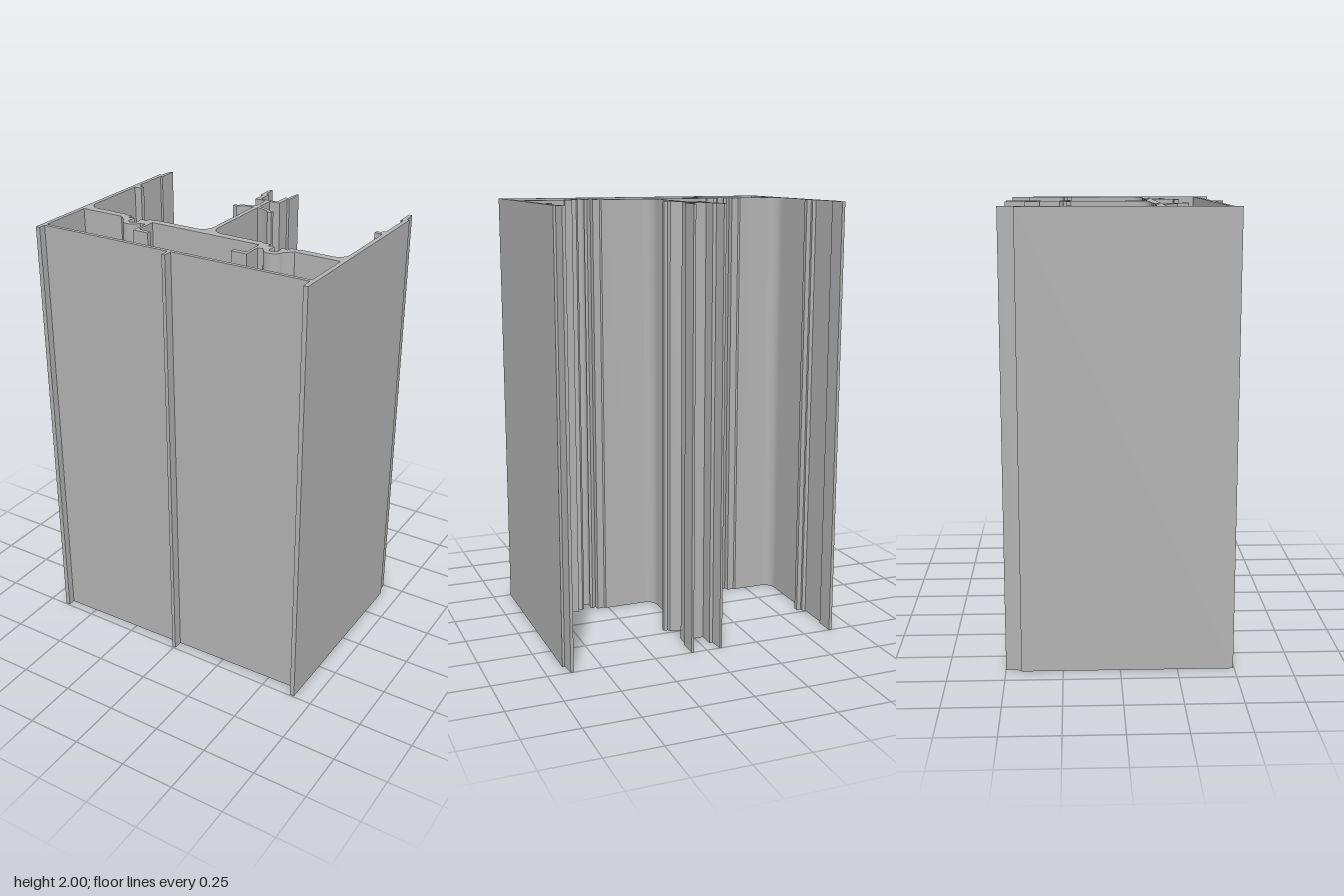
import * as THREE from 'three';
import { toCreasedNormals } from 'three/addons/utils/BufferGeometryUtils.js';

const HEIGHT = 2;
const metal = new THREE.MeshStandardMaterial({ color: 0xb2b2b2 });
metal.name = 'grey aluminium';

// Points on an arc in the x-z plane, angles in degrees
function arc(cx, cz, r, from, to, steps = 10) {
  return Array.from({ length: steps + 1 }, (_, i) => {
    const a = THREE.MathUtils.degToRad(from + ((to - from) * i) / steps);
    return [cx + r * Math.cos(a), cz + r * Math.sin(a)];
  });
}

// Extrude an x-z outline up the full height; side -1 mirrors it
function extrude(name, points, side = 1) {
  const shape = new THREE.Shape(points.map(([x, z]) => new THREE.Vector2(x * side, -z)));
  const geometry = new THREE.ExtrudeGeometry(shape, { depth: HEIGHT, bevelEnabled: false });
  geometry.rotateX(-Math.PI / 2);
  const mesh = new THREE.Mesh(toCreasedNormals(geometry, 0.6), metal);
  mesh.name = name;
  return mesh;
}

export function createModel() {
  const model = new THREE.Group();
  model.name = 'extrudedProfile';

  // Outer wall with stepped clip edge and small inner catch
  const wall = [
    [0.663, 0.495], [0.663, -0.432], [0.652, -0.432], [0.645, -0.5], [0.631, -0.5],
    [0.631, -0.41], [0.642, -0.41],
    [0.642, -0.242], [0.628, -0.235], [0.628, -0.221], [0.606, -0.221], [0.606, -0.199], [0.642, -0.199],
    [0.642, 0.495],
  ];

  // Cross web with fillets, round screw port and hooked leg
  const web = [
    ...arc(0.064, 0.099, 0.053, 180, 90),
    [0.264, 0.152], [0.271, 0.158], [0.304, 0.158], [0.308, 0.183],
    [0.327, 0.172], [0.338, 0.182], [0.333, 0.196],
    ...arc(0.353, 0.211, 0.021, 180, 0),
    [0.373, 0.196], [0.368, 0.182], [0.379, 0.172],
    [0.398, 0.183], [0.402, 0.158], [0.435, 0.158], [0.442, 0.152],
    ...arc(0.589, 0.099, 0.053, 90, 0),
    [0.642, 0.188], [0.435, 0.188],
    ...arc(0.353, 0.211, 0.046, 10, 165, 14),
    [0.282, 0.223], [0.282, 0.311], [0.207, 0.311], [0.207, 0.289], [0.268, 0.289], [0.268, 0.188],
    [0.011, 0.188],
  ];

  // Arm of the fork on the centre stem
  const forkArm = [
    [0, -0.342], [0, -0.356], [0.043, -0.356], [0.043, -0.43], [0.058, -0.432], [0.064, -0.5],
    [0.075, -0.5], [0.075, -0.41], [0.064, -0.41], [0.064, -0.342],
  ];

  // Drooping wing with a turned-out lip
  const wing = [
    [0.011, -0.254], [0.075, -0.235], [0.082, -0.221], [0.1, -0.221], [0.1, -0.203],
    [0.08, -0.203], [0.063, -0.219], [0.011, -0.235],
  ];

  const halves = { Wall: wall, Web: web, ForkArm: forkArm, Wing: wing };
  for (const [name, points] of Object.entries(halves)) {
    model.add(extrude('left' + name, points, 1), extrude('right' + name, points, -1));
  }

  // Centre stem
  model.add(extrude('centreStem', [[-0.011, -0.342], [0.011, -0.342], [0.011, 0.188], [-0.011, 0.188]]));

  // Slightly sloping front plate with its centre rib
  model.add(extrude('frontPlate', [
    [-0.642, 0.444], [0.642, 0.424], [0.642, 0.441], [0.008, 0.452],
    [0.008, 0.495], [-0.008, 0.495], [-0.008, 0.452], [-0.642, 0.462],
  ]));

  return model;
}
